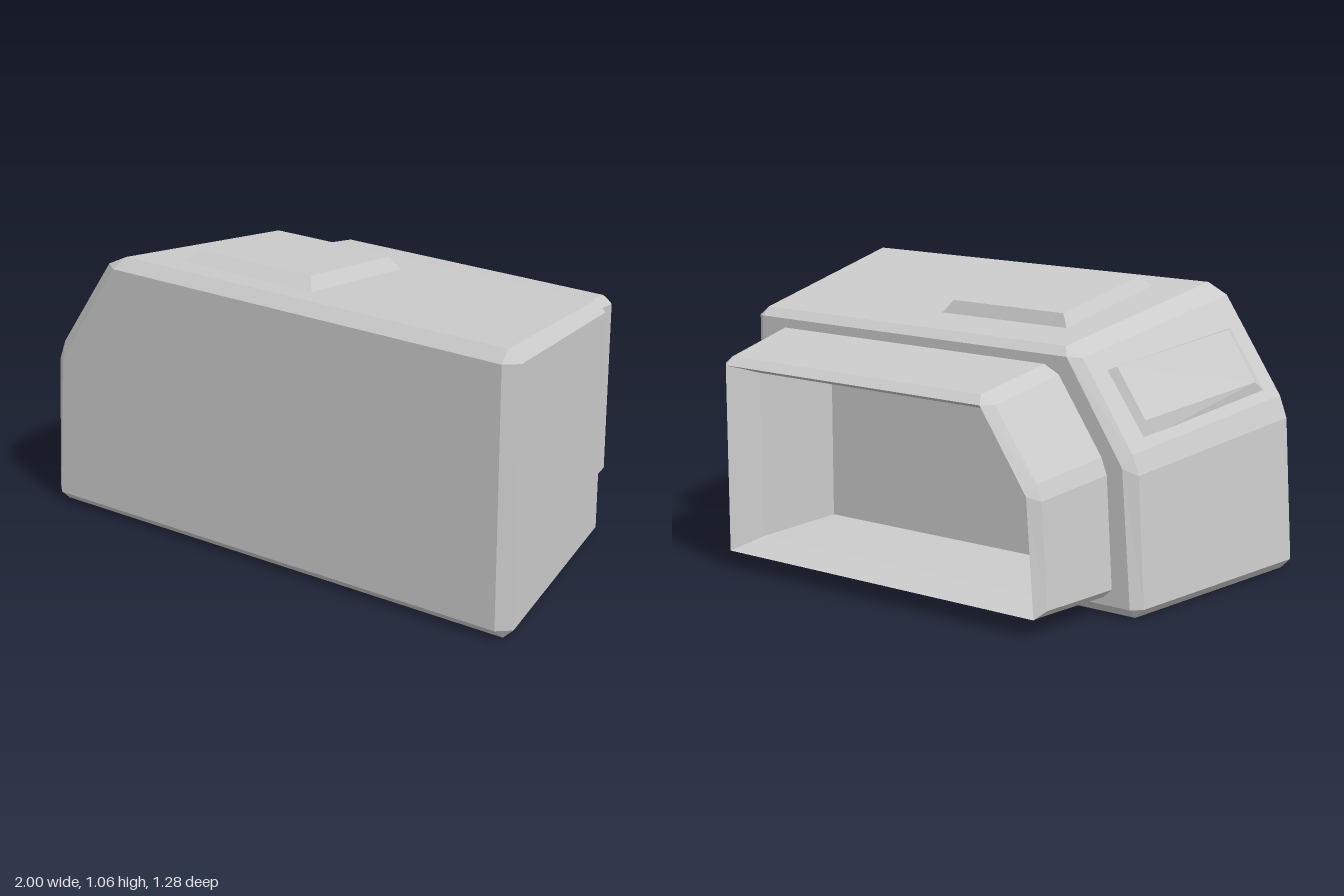
import * as THREE from 'three';

// Joins matching rings of [x, y, z] points, optionally capping both ends.
// Rings run counter-clockwise as seen from outside the first ring.
function loft(name, rings, capEnd) {
  const pos = [];
  const v = (p) => new THREE.Vector3(...p);
  const tri = (a, b, c) => {
    const n = v(b).sub(v(a)).cross(v(c).sub(v(a)));
    if (n.length() > 1e-7) pos.push(...a, ...b, ...c);
  };
  const count = rings[0].length;
  const last = rings[rings.length - 1];
  for (let i = 0; i < rings.length - 1; i++) {
    for (let j = 0; j < count; j++) {
      const k = (j + 1) % count;
      const [a, b, c, d] = [rings[i][j], rings[i][k], rings[i + 1][j], rings[i + 1][k]];
      tri(a, c, b);
      tri(b, c, d);
    }
  }
  for (let j = 1; j < count - 1; j++) {
    tri(rings[0][0], rings[0][j], rings[0][j + 1]);
    if (capEnd) tri(last[0], last[j + 1], last[j]);
  }
  const geometry = new THREE.BufferGeometry();
  geometry.setAttribute('position', new THREE.Float32BufferAttribute(pos, 3));
  geometry.computeVertexNormals();
  const mesh = new THREE.Mesh(
    geometry,
    new THREE.MeshStandardMaterial({ color: 0xcccccc, flatShading: true })
  );
  mesh.name = name;
  return mesh;
}

// Full section with bevelled corners
const outer = [
  [-1, 0.04], [-0.96, 0], [0.96, 0], [1, 0.04], [1, 1],
  [0.95, 1.04], [-0.62, 1.04], [-0.7, 1], [-0.935, 0.65], [-0.965, 0.57],
];
// Inset section: each sharp corner is doubled to match the bevelled one
const insetFrom = (bottom) =>
  [[-0.96, bottom], [0.95, bottom], [0.95, 1], [-0.65, 1], [-0.915, 0.595]].flatMap((p) => [p, p]);
const inset = insetFrom(0.04);
const lip = insetFrom(0);

const ring = (shape, z, xOff = 0, xScale = 1, yOff = 0, yScale = 1) =>
  shape.map(([x, y]) => [xOff + x * xScale, yOff + y * yScale, z]);

export function createModel() {
  const group = new THREE.Group();
  group.name = 'housing';

  // Tapered body, stepped rear neck and the hollow opening behind it
  group.add(loft('bodyShell', [
    ring(inset, 0.64),
    ring(outer, 0.6),
    ring(outer, -0.24, -0.02, 0.88, 0, 0.88),
    ring(inset, -0.275, -0.02, 0.88, 0, 0.885),
    ring(outer, -0.275, -0.025, 0.765, 0.065, 0.755),
    ring(outer, -0.6, -0.025, 0.725, 0.065, 0.7),
    ring(lip, -0.638, -0.025, 0.725, 0.065, 0.7),
    ring(inset, -0.5, -0.025, 0.685, 0.07, 0.65),
    ring(inset, -0.1, -0.025, 0.685, 0.07, 0.65),
  ], true));

  // Raised plate on the sloping roof
  const roofY = (z) => 1.04 - 0.149 * (0.6 - z);
  const plate = (x0, x1, z0, z1, lift) =>
    [[x0, z1], [x1, z1], [x1, z0], [x0, z0]].map(([x, z]) => [x, roofY(z) + lift, z]);
  group.add(loft('roofPlate', [
    plate(-0.42, 0.07, -0.05, 0.44, 0.045),
    plate(-0.45, 0.11, -0.07, 0.49, -0.003),
  ], false));

  // Raised plate on the slanted shoulder
  group.add(loft('shoulderPlate', [
    [[-0.9, 0.715, 0.475], [-0.785, 0.895, 0.47], [-0.71, 0.845, -0.14], [-0.825, 0.67, -0.135]],
    [[-0.905, 0.672, 0.54], [-0.76, 0.892, 0.53], [-0.68, 0.83, -0.16], [-0.83, 0.602, -0.155]],
  ], false));

  return group;
}
